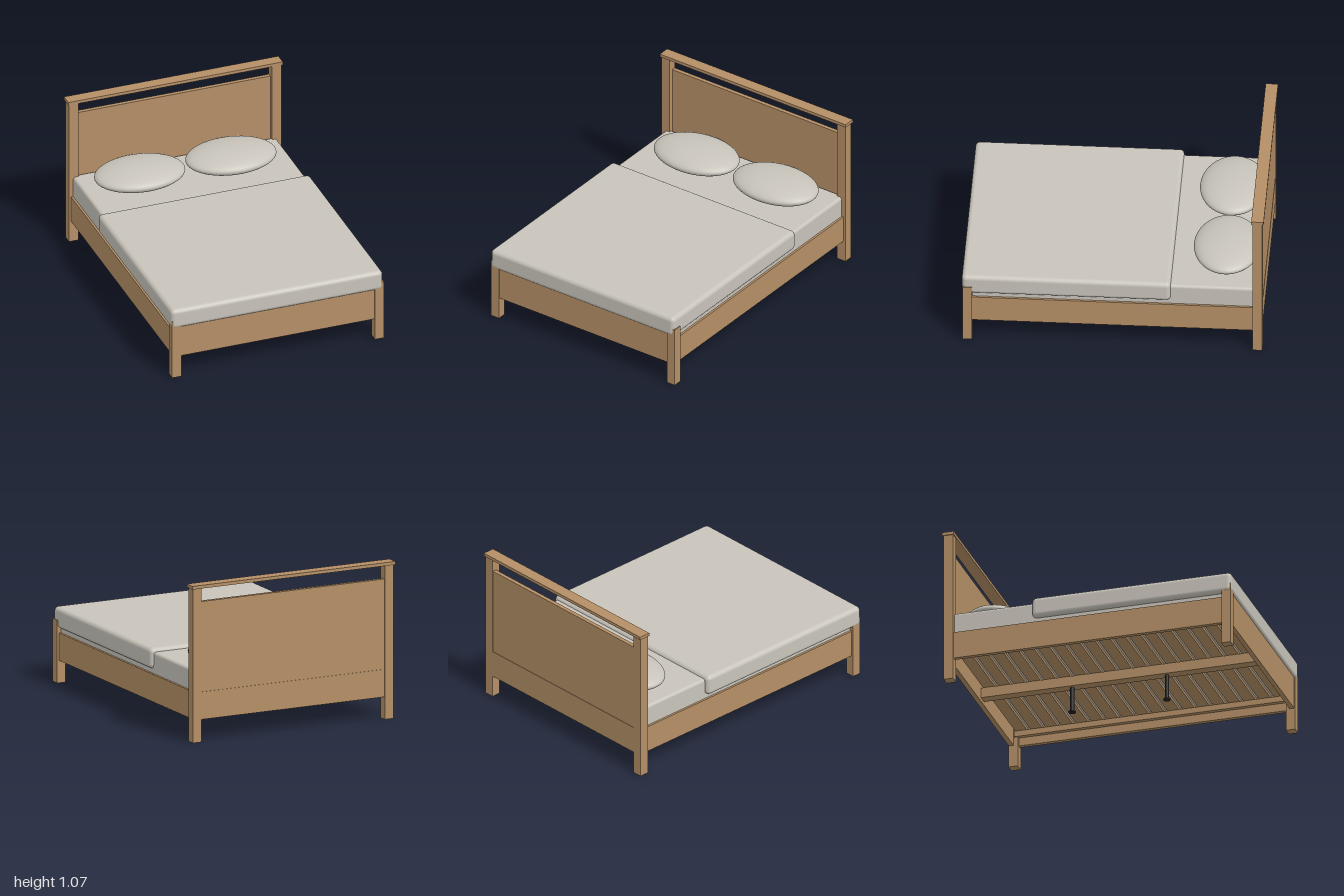
import * as THREE from 'three';
import { RoundedBoxGeometry } from 'three/addons/geometries/RoundedBoxGeometry.js';

export function createModel() {
  const bed = new THREE.Group();
  bed.name = 'bed';
  const material = (name, color) => {
    const m = new THREE.MeshStandardMaterial({ color });
    m.name = name;
    return m;
  };
  const wood = material('oak wood', 0xb48f66);
  const fabric = material('linen fabric', 0xc8c4bb);
  const metal = material('black metal', 0x222324);

  const add = (name, geometry, mat, x = 0, y = 0, z = 0) => {
    const mesh = new THREE.Mesh(geometry, mat);
    mesh.name = name;
    mesh.position.set(x, y, z);
    bed.add(mesh);
    return mesh;
  };
  // Box given by its lower and upper limits on each axis
  const board = (name, [x0, x1], [y0, y1], [z0, z1]) =>
    add(name, new THREE.BoxGeometry(x1 - x0, y1 - y0, z1 - z0), wood,
      (x0 + x1) / 2, (y0 + y1) / 2, (z0 + z1) / 2);
  const cushion = (name, [x0, x1], [y0, y1], [z0, z1], radius) =>
    add(name, new RoundedBoxGeometry(x1 - x0, y1 - y0, z1 - z0, 5, radius), fabric,
      (x0 + x1) / 2, (y0 + y1) / 2, (z0 + z1) / 2);

  // Headboard
  board('headboardCap', [-0.757, 0.757], [1.045, 1.067], [-1, -0.918]);
  board('headboardPanel', [-0.685, 0.685], [0.34, 0.953], [-0.985, -0.957]);
  board('headboardLowerRail', [-0.685, 0.685], [0.153, 0.34], [-0.988, -0.955]);

  // Footboard
  board('footRail', [-0.685, 0.685], [0.153, 0.38], [0.955, 0.987]);

  // Posts, side rails and slat cleats, mirrored
  for (const s of [-1, 1]) {
    const span = (a, b) => (s > 0 ? [a, b] : [-b, -a]);
    board('headPost', span(0.684, 0.75), [0, 1.045], [-0.99, -0.925]);
    board('footLeg', span(0.684, 0.748), [0, 0.427], [0.93, 0.994]);
    board('sideRail', span(0.705, 0.735), [0.153, 0.34], [-0.93, 0.935]);
    board('slatCleat', span(0.675, 0.705), [0.21, 0.25], [-0.95, 0.95]);
  }

  // Slatted base with centre beam
  board('centreBeam', [-0.035, 0.035], [0.18, 0.25], [-0.955, 0.955]);
  const slats = 18;
  for (let i = 0; i < slats; i++) {
    const z = -0.9 + (i * 1.79) / (slats - 1);
    board('slat', [-0.705, 0.705], [0.25, 0.27], [z - 0.04, z + 0.04]);
  }

  // Centre support legs with round feet
  for (const z of [0.32, -0.335]) {
    add('supportLeg', new THREE.CylinderGeometry(0.014, 0.014, 0.18, 24), metal, 0, 0.09, z);
    add('supportFoot', new THREE.CylinderGeometry(0.024, 0.024, 0.009, 24), metal, 0, 0.0045, z);
  }

  // Bedding
  cushion('mattress', [-0.72, 0.72], [0.272, 0.485], [-0.955, 0.95], 0.02);
  cushion('duvet', [-0.754, 0.742], [0.37, 0.51], [-0.382, 0.999], 0.03);
  for (const x of [-0.323, 0.321]) {
    const pillow = new THREE.SphereGeometry(1, 48, 32);
    pillow.scale(0.311, 0.07, 0.222);
    add('pillow', pillow, fabric, x, 0.54, -0.734);
  }
  return bed;
}
